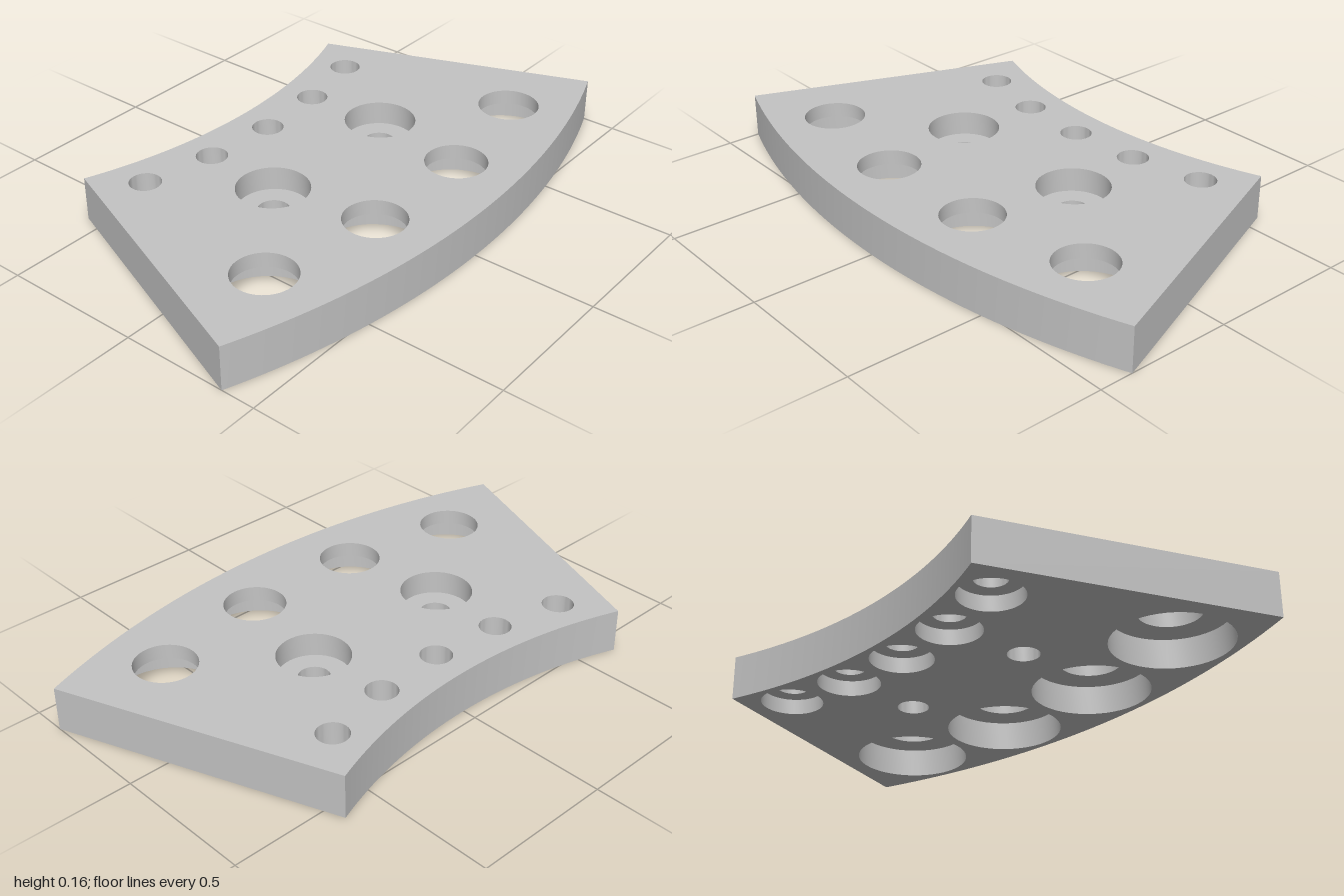
import * as THREE from 'three';
import { mergeVertices, toCreasedNormals } from 'three/addons/utils/BufferGeometryUtils.js';

const H = 0.158;              // plate thickness
const CX = -2.227;            // centre of the ring the plate is a segment of
const R_IN = 1.777, R_OUT = 2.792;
const HALF = THREE.MathUtils.degToRad(21);
const SEG = 24;               // half the facets of each full circle

// Each row of holes: pitch radius, angles in degrees, radius at bottom and top, height of the step
const rows = [
  { name: 'smallHole', pitch: 1.906, angles: [-16, -8, 0, 8, 16], bottom: 0.108, top: 0.055, step: 0.055 },
  { name: 'boltHole', pitch: 2.2, angles: [-7.5, 7.5], bottom: 0.055, top: 0.125, step: 0.073 },
  { name: 'largeHole', pitch: 2.563, angles: [-15, -5, 5, 15], bottom: 0.205, top: 0.108, step: 0.105 },
];

const holes = rows.flatMap(row => row.angles.map(deg => {
  const a = THREE.MathUtils.degToRad(deg);
  return { ...row, x: CX + row.pitch * Math.cos(a), y: row.pitch * Math.sin(a) };
}));

// Ring segment outline
function outline() {
  const s = new THREE.Shape();
  s.absarc(CX, 0, R_OUT, -HALF, HALF, false);
  s.absarc(CX, 0, R_IN, HALF, -HALF, true);
  s.closePath();
  return s;
}

// Flat face pierced by the holes at the given end
function faceGeometry(end) {
  const s = outline();
  for (const h of holes) {
    const p = new THREE.Path();
    p.absarc(h.x, h.y, h[end], 0, Math.PI * 2, true);
    s.holes.push(p);
  }
  return new THREE.ShapeGeometry(s, SEG);
}

// Rim wall around the outline
function wallGeometry() {
  const pts = outline().getPoints(SEG);
  if (pts[0].distanceTo(pts[pts.length - 1]) < 1e-6) pts.pop();
  const pos = [];
  pts.forEach((a, i) => {
    const b = pts[(i + 1) % pts.length];
    pos.push(a.x, a.y, 0, b.x, b.y, 0, b.x, b.y, H);
    pos.push(a.x, a.y, 0, b.x, b.y, H, a.x, a.y, H);
  });
  const g = new THREE.BufferGeometry();
  g.setAttribute('position', new THREE.Float32BufferAttribute(pos, 3));
  return toCreasedNormals(mergeVertices(g), 0.5).rotateX(-Math.PI / 2);
}

// Stepped bore, profile running downwards so it faces its axis
function boreGeometry({ bottom, top, step }) {
  const profile = [[top, H], [top, step], [bottom, step], [bottom, 0]];
  const g = new THREE.LatheGeometry(profile.map(p => new THREE.Vector2(...p)), SEG * 2);
  return toCreasedNormals(g, 0.5);
}

export function createModel() {
  const group = new THREE.Group();
  group.name = 'ringSegmentPlate';
  const grey = new THREE.MeshStandardMaterial({ color: 0xc4c4c4 });
  grey.name = 'plainGrey';

  const add = (name, geometry) => {
    const mesh = new THREE.Mesh(geometry, grey);
    mesh.name = name;
    group.add(mesh);
    return mesh;
  };

  // Plate faces and rim
  add('topFace', faceGeometry('top').rotateX(-Math.PI / 2)).position.y = H;
  add('bottomFace', faceGeometry('bottom').rotateX(Math.PI / 2));
  add('rimWall', wallGeometry());

  // Counterbored holes
  for (const h of holes) add(h.name, boreGeometry(h)).position.set(h.x, 0, -h.y);

  return group;
}
